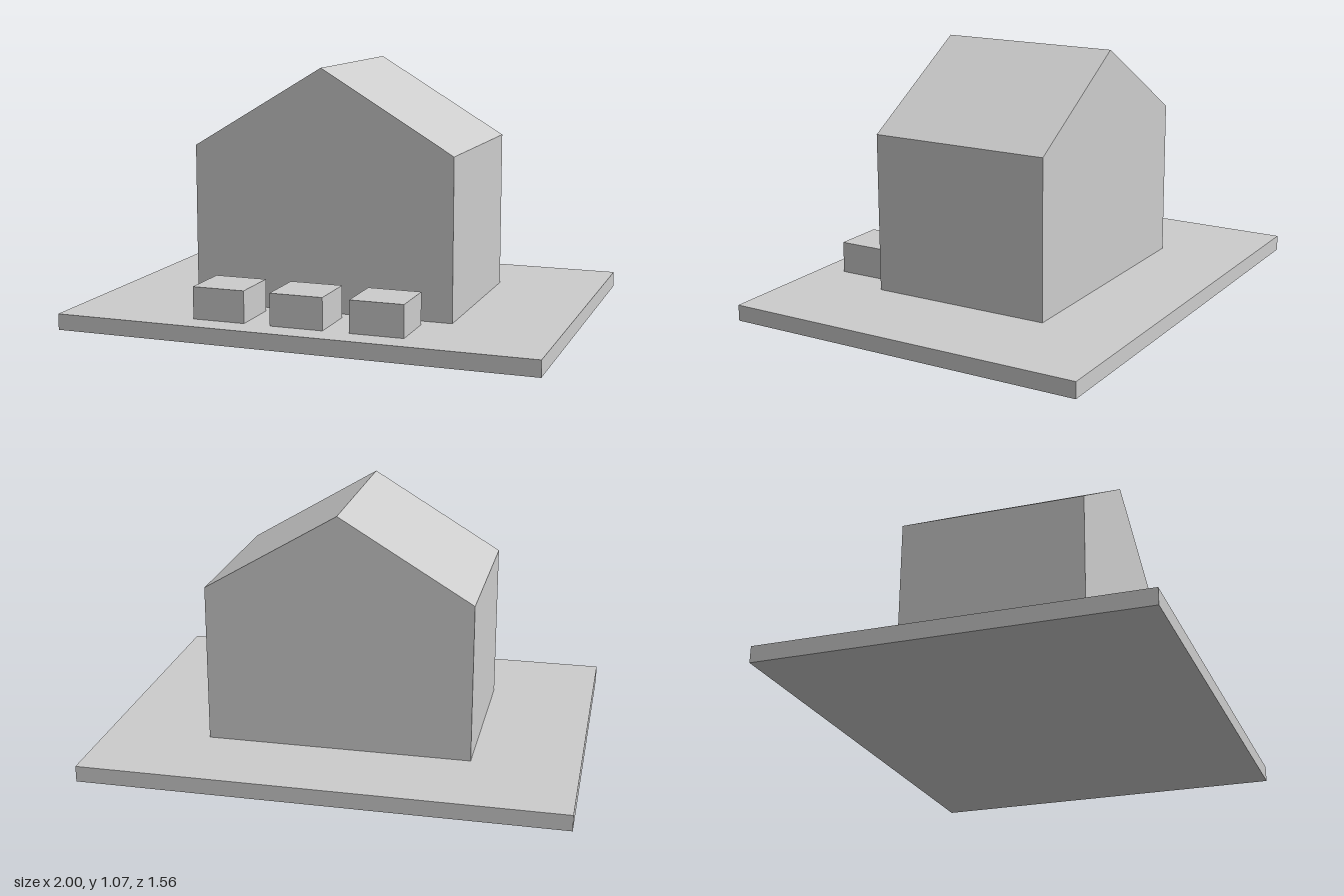
import * as THREE from 'three';

export function createModel() {
  const model = new THREE.Group();
  const grey = new THREE.MeshStandardMaterial({ color: 0xcccccc });
  grey.name = 'light grey';

  const add = (name, geometry, x, y, z) => {
    const mesh = new THREE.Mesh(geometry, grey);
    mesh.name = name;
    mesh.position.set(x, y, z);
    model.add(mesh);
  };

  const baseHeight = 0.067;

  // Ground slab
  add('baseSlab', new THREE.BoxGeometry(2, baseHeight, 1.556), 0, baseHeight / 2, 0);

  // House body with its gable roof, extruded along z
  const halfWidth = 0.556, eaves = 0.667, ridge = 1.0, depth = 0.778;
  const gable = new THREE.Shape([
    new THREE.Vector2(-halfWidth, 0),
    new THREE.Vector2(halfWidth, 0),
    new THREE.Vector2(halfWidth, eaves),
    new THREE.Vector2(0, ridge),
    new THREE.Vector2(-halfWidth, eaves),
  ]);
  const house = new THREE.ExtrudeGeometry(gable, { depth, bevelEnabled: false });
  add('house', house, 0, baseHeight, -depth / 2);

  // Row of three blocks in front of the house
  const blockHeight = 0.133;
  ['rightBlock', 'middleBlock', 'leftBlock'].forEach((name, i) => {
    add(name, new THREE.BoxGeometry(0.222, blockHeight, 0.222),
      (i - 1) * 0.333, baseHeight + blockHeight / 2, 0.556);
  });

  return model;
}
